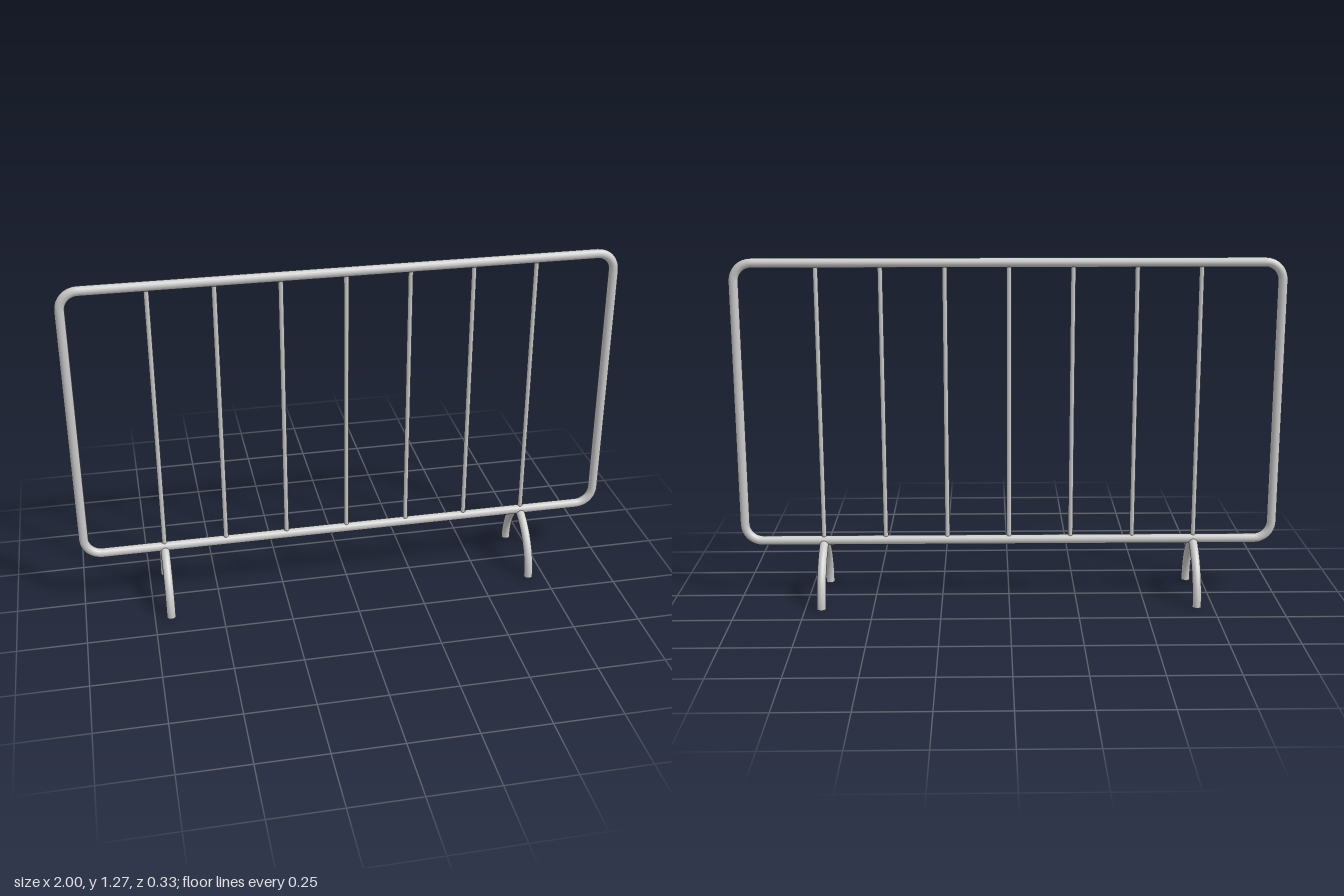
import * as THREE from 'three';

const material = new THREE.MeshStandardMaterial({ color: 0xcccccc });

function addMesh(parent, name, geometry, x = 0, y = 0, z = 0) {
  const mesh = new THREE.Mesh(geometry, material);
  mesh.name = name;
  mesh.position.set(x, y, z);
  parent.add(mesh);
  return mesh;
}

// Circular arc in the xy plane, swept as a tube
class Arc extends THREE.Curve {
  constructor(radius, start, end) {
    super();
    Object.assign(this, { radius, start, end });
  }
  getPoint(t, target = new THREE.Vector3()) {
    const a = this.start + (this.end - this.start) * t;
    return target.set(this.radius * Math.cos(a), this.radius * Math.sin(a), 0);
  }
}

export function createModel() {
  const model = new THREE.Group();
  model.name = 'barrier';

  const tube = 0.0175, halfWidth = 1 - tube, bottom = 0.217, top = 1.2525, bend = 0.065;
  const middle = (bottom + top) / 2, height = top - bottom;

  // Rounded rectangular frame: four straight rails joined by quarter bends
  const frame = new THREE.Group();
  frame.name = 'frame';
  model.add(frame);
  const rail = new THREE.CylinderGeometry(tube, tube, 2 * (halfWidth - bend), 16, 1, true);
  rail.rotateZ(Math.PI / 2);
  addMesh(frame, 'topRail', rail, 0, top);
  addMesh(frame, 'bottomRail', rail, 0, bottom);
  const post = new THREE.CylinderGeometry(tube, tube, height - 2 * bend, 16, 1, true);
  addMesh(frame, 'leftPost', post, halfWidth, middle);
  addMesh(frame, 'rightPost', post, -halfWidth, middle);
  const corner = new THREE.TorusGeometry(bend, tube, 16, 8, Math.PI / 2);
  for (let i = 0; i < 4; i++) {
    const sx = i === 0 || i === 3 ? 1 : -1;
    const y = i < 2 ? top - bend : bottom + bend;
    addMesh(frame, 'cornerBend', corner, sx * (halfWidth - bend), y).rotation.z = i * Math.PI / 2;
  }

  // Seven thin upright bars
  const bar = new THREE.CylinderGeometry(0.009, 0.009, height, 12, 1, true);
  for (let i = -3; i <= 3; i++) addMesh(model, 'bar', bar, i * 0.23, middle);

  // Two feet, each a pair of curved legs meeting in a point at the bottom rail
  const legRadius = 0.0165, footZ = 0.147, apexY = 0.209;
  const offset = (apexY ** 2 - footZ ** 2) / (2 * footZ);
  const arc = new Arc(footZ + offset, 0, Math.atan2(apexY, offset));
  const legGeometry = new THREE.TubeGeometry(arc, 10, legRadius, 14);
  const sole = new THREE.CircleGeometry(legRadius, 14).rotateX(Math.PI / 2);
  for (const x of [-0.69, 0.69]) {
    for (const side of [-1, 1]) {
      const leg = new THREE.Group();
      leg.name = side > 0 ? 'frontLeg' : 'backLeg';
      leg.position.set(x, 0, -side * offset);
      leg.rotation.y = -side * Math.PI / 2;
      addMesh(leg, 'legTube', legGeometry);
      addMesh(leg, 'sole', sole, footZ + offset);
      model.add(leg);
    }
  }
  return model;
}
